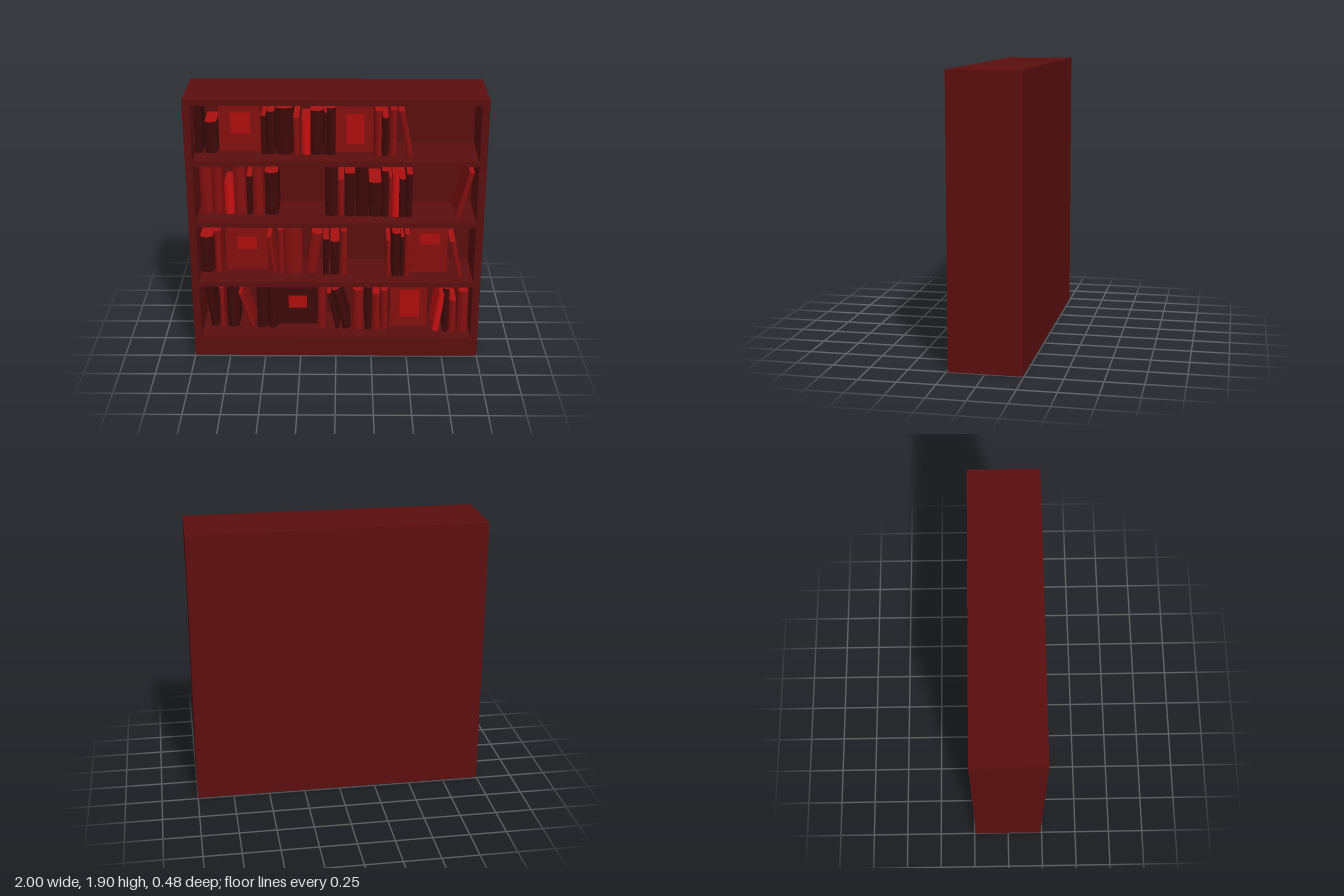
import * as THREE from 'three';
import { toCreasedNormals } from 'three/addons/utils/BufferGeometryUtils.js';

const mat = (color) => new THREE.MeshStandardMaterial({ color });
const BACK = -0.14; // front face of the back panel

export function createModel() {
  const group = new THREE.Group();
  const wood = mat(0x5c0e0e);
  const covers = [mat(0x3c0808), mat(0x850f0f), mat(0xc81010)]; // dark, mid, bright
  const pages = mat(0xa81010);
  const panel = mat(0xb00e0e);

  // box given by its min and max corners
  function box(name, x0, x1, y0, y1, z0, z1, material) {
    const mesh = new THREE.Mesh(new THREE.BoxGeometry(x1 - x0, y1 - y0, z1 - z0), material);
    mesh.position.set((x0 + x1) / 2, (y0 + y1) / 2, (z0 + z1) / 2);
    mesh.name = name;
    group.add(mesh);
  }

  // upright book with a rounded spine; tilt is the sideways shift of its top
  function book(x, y, w, h, shade, tilt = 0) {
    const front = 0.12 + 0.04 * x;
    const bulge = Math.min(0.02, w * 0.3);
    const pivot = tilt > 0 ? w : 0; // lowest corner stays on the shelf
    const s = new THREE.Shape();
    s.moveTo(-pivot, -BACK);
    s.lineTo(-pivot, -front + bulge);
    s.quadraticCurveTo(w / 2 - pivot, -front - bulge, w - pivot, -front + bulge);
    s.lineTo(w - pivot, -BACK);
    let g = new THREE.ExtrudeGeometry(s, { depth: h, bevelEnabled: false, curveSegments: 8 });
    g.rotateX(-Math.PI / 2);
    g = toCreasedNormals(g, 0.6);
    const mesh = new THREE.Mesh(g, [pages, covers[shade]]);
    mesh.position.set(x + pivot, y, 0);
    mesh.rotation.z = -Math.asin(tilt / h);
    mesh.name = tilt ? 'leaningBook' : 'book';
    group.add(mesh);
  }

  // book shown face out, with a bright panel on its cover
  function displayBook(x0, x1, y, h, shade, px0, px1, py0, py1) {
    const z = 0.055 + 0.03 * x0;
    box('displayBook', x0, x1, y, y + h, BACK, z, covers[shade]);
    box('coverPanel', px0, px1, py0, py1, z - 0.01, z + 0.003, panel);
  }

  // each entry: left edge, width, height, shade, optional tilt
  const row = (y, books) => books.forEach(([x, w, h, s, t]) => book(x, y, w, h, s, t));

  // case
  for (const s of [-1, 1]) {
    box('sidePanel', s < 0 ? -1 : 0.95, s < 0 ? -0.95 : 1, 0, 1.9, -0.24, 0.24, wood);
  }
  box('backPanel', -0.95, 0.95, 0, 1.9, -0.24, BACK, wood);
  box('topBoard', -0.95, 0.95, 1.86, 1.9, BACK, 0.24, wood);
  box('base', -0.95, 0.95, 0, 0.145, BACK, 0.24, wood);
  for (const y of [0.58, 1.03, 1.475]) box('shelf', -0.95, 0.95, y - 0.037, y, BACK, 0.235, wood);

  // top shelf
  row(1.475, [
    [-0.945, 0.045, 0.37, 0], [-0.88, 0.08, 0.22, 0], [-0.5, 0.03, 0.27, 0],
    [-0.46, 0.05, 0.3, 0], [-0.4, 0.11, 0.325, 0], [-0.285, 0.04, 0.26, 1],
    [-0.23, 0.06, 0.245, 2], [-0.17, 0.085, 0.31, 0], [-0.08, 0.02, 0.3, 0],
    [-0.06, 0.055, 0.33, 0], [0.26, 0.045, 0.315, 1], [0.31, 0.04, 0.27, 0],
    [0.36, 0.045, 0.325, 1], [0.475, 0.04, 0.32, 1, -0.06],
  ]);
  displayBook(-0.79, -0.51, 1.475, 0.33, 1, -0.71, -0.58, 1.6, 1.745);
  displayBook(0, 0.25, 1.475, 0.33, 1, 0.07, 0.19, 1.535, 1.745);

  // third shelf
  row(1.03, [
    [-0.93, 0.08, 0.37, 1], [-0.84, 0.06, 0.385, 1], [-0.765, 0.065, 0.225, 2],
    [-0.7, 0.08, 0.37, 1], [-0.61, 0.035, 0.28, 0], [-0.57, 0.07, 0.37, 1],
    [-0.485, 0.09, 0.31, 0], [-0.075, 0.085, 0.37, 0], [0.015, 0.04, 0.27, 1],
    [0.06, 0.07, 0.315, 0], [0.135, 0.085, 0.37, 0], [0.225, 0.085, 0.25, 0],
    [0.31, 0.045, 0.335, 0], [0.36, 0.02, 0.29, 1], [0.385, 0.045, 0.31, 2],
    [0.432, 0.043, 0.28, 0], [0.48, 0.04, 0.315, 0], [0.815, 0.035, 0.34, 1, 0.085],
  ]);

  // second shelf
  row(0.58, [
    [-0.95, 0.09, 0.27, 0], [-0.85, 0.045, 0.32, 1], [-0.445, 0.03, 0.28, 1, -0.035],
    [-0.405, 0.04, 0.335, 1], [-0.35, 0.11, 0.375, 1], [-0.215, 0.075, 0.31, 1, 0.045],
    [-0.09, 0.04, 0.27, 0], [-0.04, 0.065, 0.255, 0], [0.035, 0.04, 0.335, 1],
    [0.35, 0.03, 0.27, 1], [0.39, 0.055, 0.325, 0], [0.45, 0.022, 0.3, 0],
    [0.48, 0.035, 0.32, 1], [0.845, 0.04, 0.275, 1, -0.058],
  ]);
  displayBook(-0.775, -0.48, 0.58, 0.315, 1, -0.69, -0.555, 0.74, 0.835);
  displayBook(0.52, 0.78, 0.58, 0.355, 1, 0.585, 0.72, 0.795, 0.88);

  // bottom shelf
  row(0.145, [
    [-0.895, 0.055, 0.375, 0, -0.048], [-0.83, 0.03, 0.31, 1], [-0.78, 0.085, 0.375, 0],
    [-0.61, 0.03, 0.28, 1, -0.085], [-0.565, 0.075, 0.325, 0], [-0.485, 0.065, 0.35, 0],
    [-0.13, 0.055, 0.37, 1], [0, 0.03, 0.29, 0, -0.065], [0.05, 0.055, 0.32, 0, -0.08],
    [0.12, 0.07, 0.315, 1], [0.205, 0.05, 0.34, 0], [0.26, 0.05, 0.29, 1],
    [0.32, 0.045, 0.315, 1], [0.685, 0.045, 0.305, 2, 0.045], [0.76, 0.04, 0.34, 0],
    [0.805, 0.045, 0.25, 1], [0.865, 0.07, 0.32, 1],
  ]);
  displayBook(-0.42, -0.135, 0.145, 0.285, 0, -0.34, -0.21, 0.28, 0.375);
  displayBook(0.385, 0.65, 0.145, 0.34, 1, 0.455, 0.595, 0.22, 0.435);

  return group;
}
